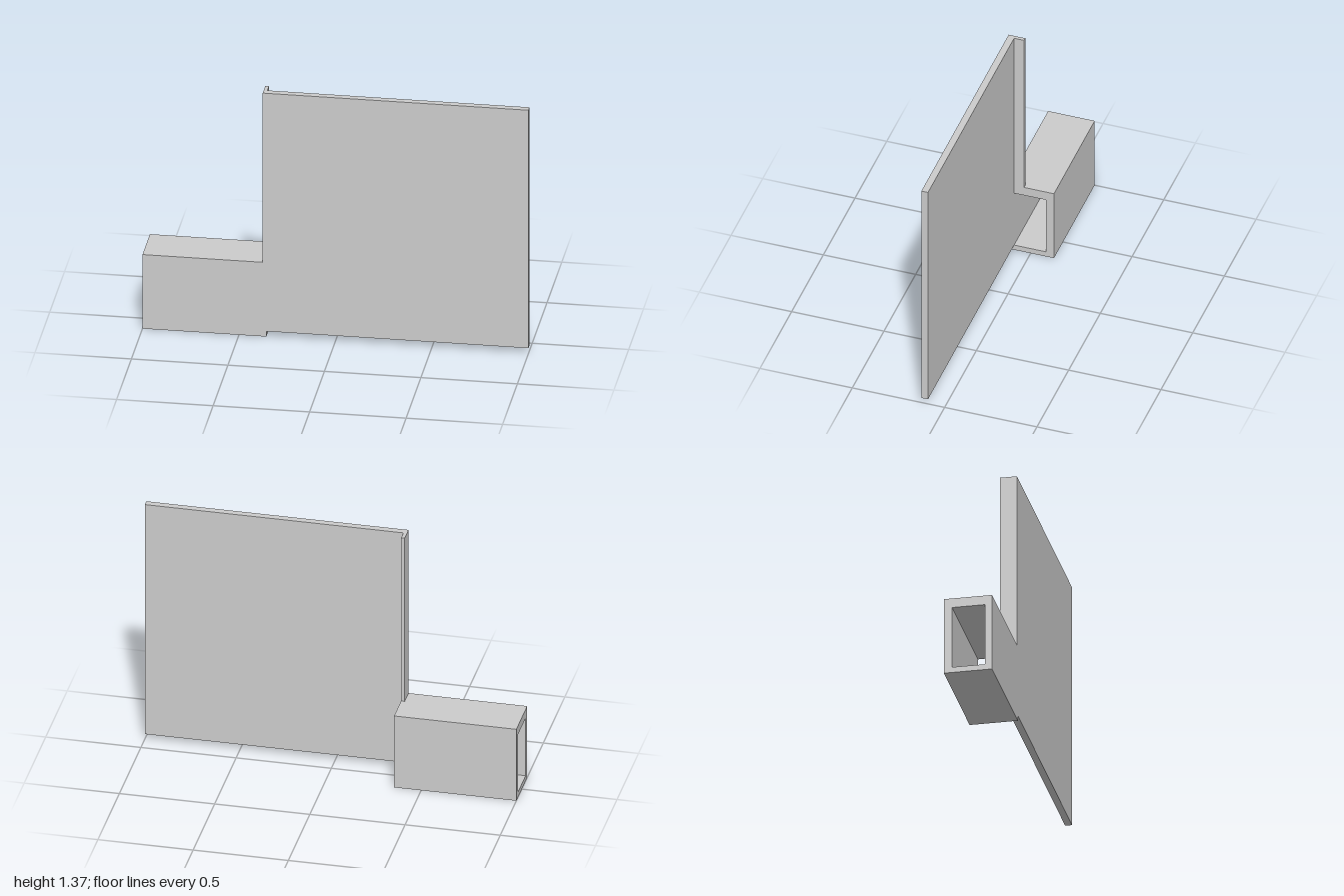
import * as THREE from 'three';

const material = new THREE.MeshStandardMaterial({ color: 0xcccccc, flatShading: true });

const outline = (points) => new THREE.Shape(points.map(([x, y]) => new THREE.Vector2(x, y)));
const extrude = (points, depth) =>
  new THREE.ExtrudeGeometry(outline(points), { depth, bevelEnabled: false });

export function createModel() {
  const group = new THREE.Group();
  const add = (name, geometry) => {
    const mesh = new THREE.Mesh(geometry, material);
    mesh.name = name;
    group.add(mesh);
  };

  const tubeEnd = -0.358, panelLeft = -0.377, top = 1.373;
  const front = 0.126, panelBack = 0.09, back = -0.126;
  const tubeTop = 0.418, floor = 0.03;

  // Front panel, which also forms the front wall of the hollow arm
  const panel = extrude([
    [-1, floor], [1, floor], [1, top], [panelLeft, top], [panelLeft, tubeTop], [-1, tubeTop],
  ], front - panelBack);
  panel.translate(0, 0, panelBack);
  add('frontPanel', panel);

  // Floor, back wall and roof of the open-ended arm, as a C profile run along x
  const channel = extrude([
    [front, 0], [back, 0], [back, tubeTop], [panelBack, tubeTop],
    [panelBack, 0.367], [-0.083, 0.367], [-0.083, floor], [front, floor],
  ].map(([z, y]) => [-z, y]), tubeEnd + 1);
  channel.rotateY(Math.PI / 2).translate(-1, 0, 0);
  add('hollowArm', channel);

  // Narrow return flange behind the panel's edge, above the arm
  const flangeBack = 0.036;
  const flange = new THREE.BoxGeometry(tubeEnd - panelLeft, top - tubeTop, panelBack - flangeBack);
  flange.translate((tubeEnd + panelLeft) / 2, (top + tubeTop) / 2, (panelBack + flangeBack) / 2);
  add('edgeFlange', flange);

  return group;
}
